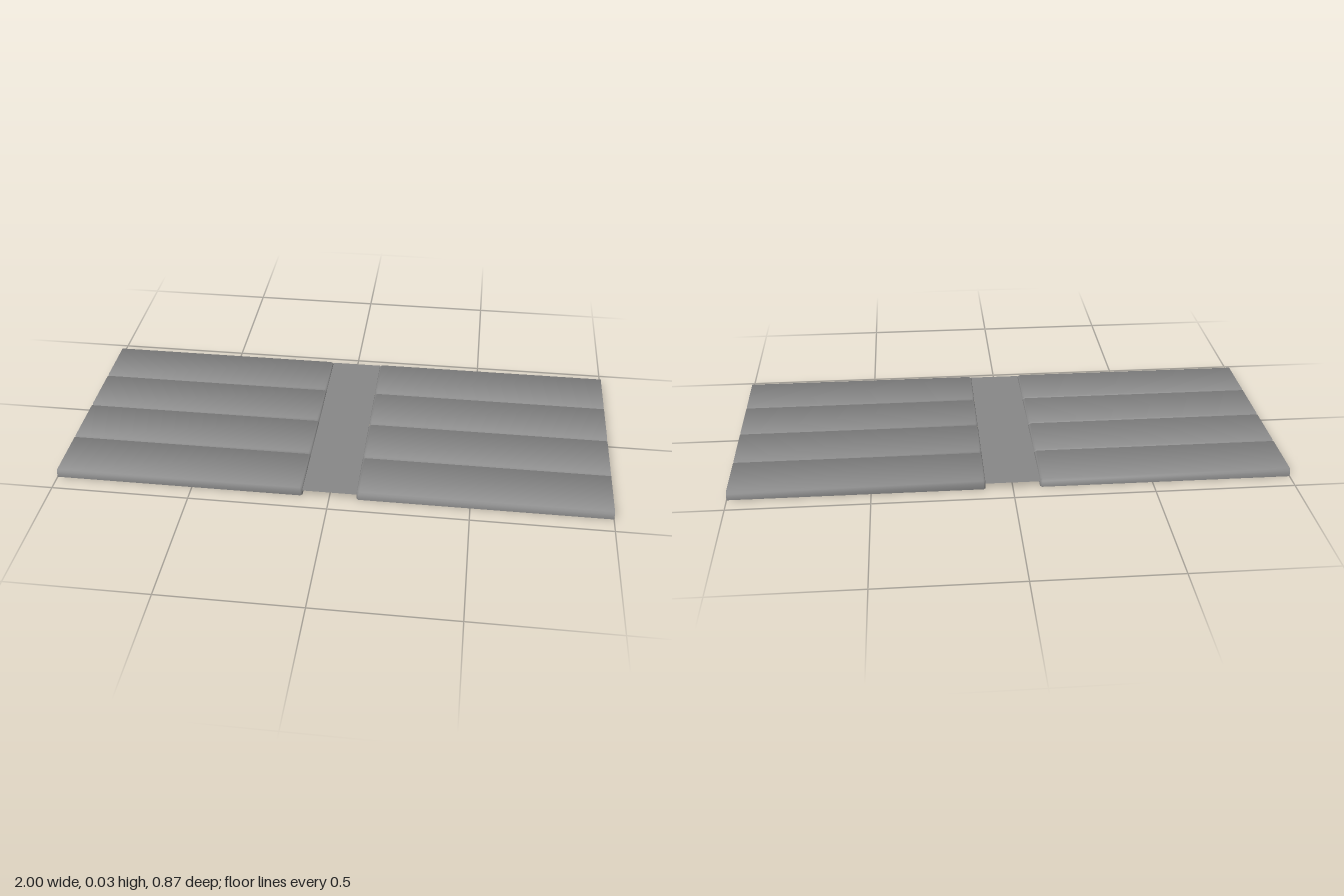
import * as THREE from 'three';

const INNER = 0.097, OUTER = 1, HEIGHT = 0.03, BEVEL = 0.007, END_BEVEL = 0.003, CORNER = 0.007;
const COUNT = 4, DEPTH = 0.87, PITCH = DEPTH / COUNT;

const material = new THREE.MeshStandardMaterial({ color: 0x888888, side: THREE.DoubleSide });

// Open-bottomed slat: a U-shaped outline in plan, raised in levels and bevelled at the top.
// Normals are smoothed evenly over every edge, so the flat top shades like a soft pillow.
function slatGeometry() {
  const h = PITCH / 2;
  // height, side inset, end inset, upward tilt of the normal in degrees
  const levels = [[0, 0, 0, 0], [HEIGHT - BEVEL, 0, 0, 22.5], [HEIGHT, BEVEL, END_BEVEL, 67.5]];
  // plan direction of the normal at each outline point, in degrees
  const headings = [90, 112.5, 157.5, 202.5, 247.5, 270].map(THREE.MathUtils.degToRad);
  const positions = [], normals = [], index = [];
  for (const [y, side, end, tilt] of levels) {
    const z = h - side, x = INNER + end, up = THREE.MathUtils.degToRad(tilt);
    positions.push(
      OUTER, y, -z, x + CORNER, y, -z, x, y, -z + CORNER,
      x, y, z - CORNER, x + CORNER, y, z, OUTER, y, z);
    for (const a of headings) {
      normals.push(Math.cos(a) * Math.cos(up), Math.sin(up), -Math.sin(a) * Math.cos(up));
    }
  }
  // walls and bevel
  for (let l = 0; l < 2; l++) {
    for (let i = 0; i < 5; i++) {
      const a = l * 6 + i, d = a + 6;
      index.push(a, a + 1, d + 1, a, d + 1, d);
    }
  }
  // top panel
  index.push(12, 13, 16, 12, 16, 17, 13, 14, 15, 13, 15, 16);
  const geometry = new THREE.BufferGeometry();
  geometry.setAttribute('position', new THREE.Float32BufferAttribute(positions, 3));
  geometry.setAttribute('normal', new THREE.Float32BufferAttribute(normals, 3));
  geometry.setIndex(index);
  return geometry;
}

export function createModel() {
  const model = new THREE.Group();
  model.name = 'slattedPanel';
  const slat = slatGeometry();

  // two banks of slats, the right one turned half a circle
  for (const [name, turn] of [['leftSlats', 0], ['rightSlats', Math.PI]]) {
    const bank = new THREE.Group();
    bank.name = name;
    bank.rotation.y = turn;
    for (let i = 0; i < COUNT; i++) {
      const mesh = new THREE.Mesh(slat, material);
      mesh.name = 'slat';
      mesh.position.z = (i - (COUNT - 1) / 2) * PITCH;
      bank.add(mesh);
    }
    model.add(bank);
  }

  // flat sheet joining the banks
  const strip = new THREE.Mesh(new THREE.PlaneGeometry(INNER * 2, DEPTH), material);
  strip.name = 'centreStrip';
  strip.rotation.x = -Math.PI / 2;
  strip.position.y = HEIGHT - BEVEL;
  model.add(strip);
  return model;
}
